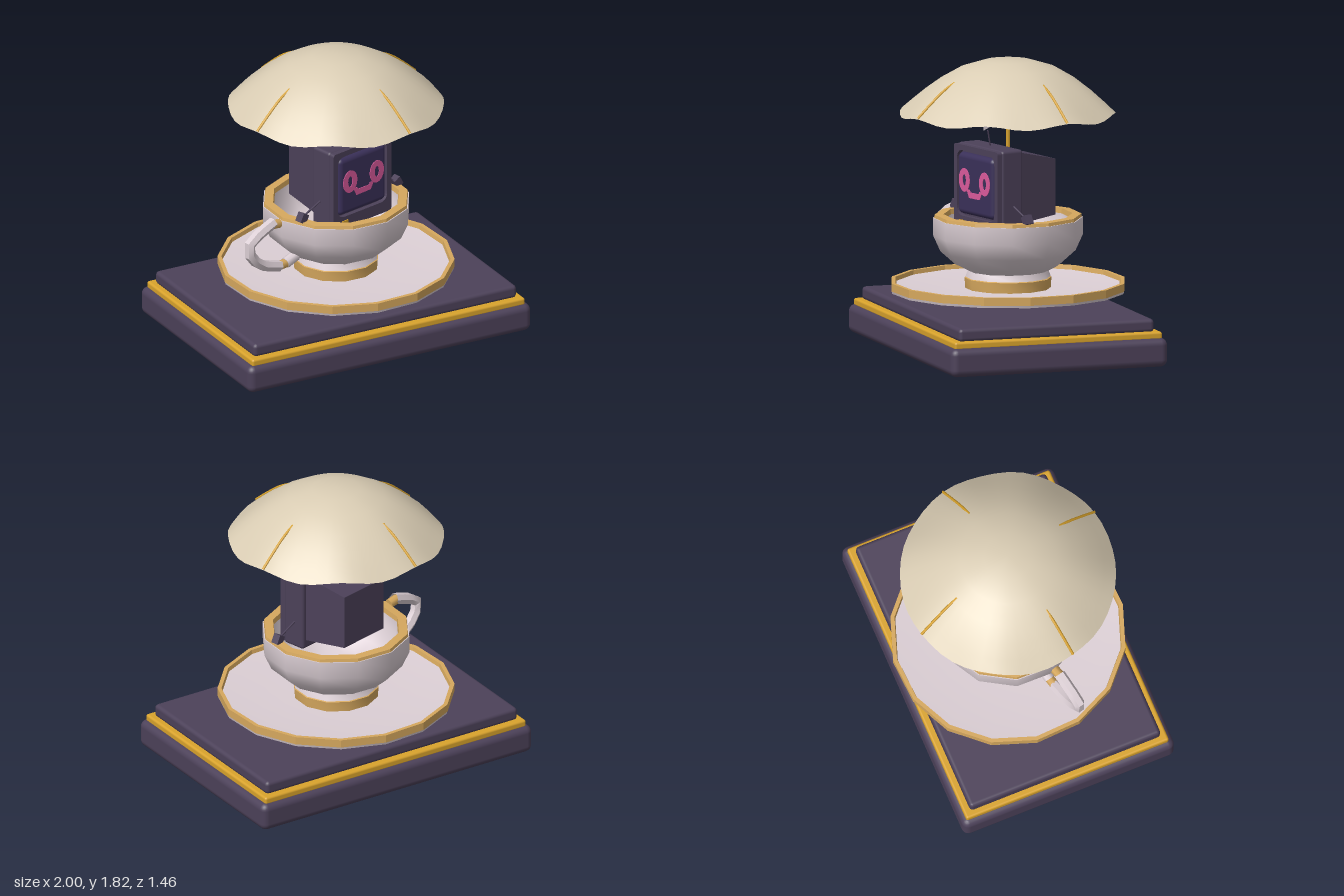
import * as THREE from 'three';
import { toCreasedNormals } from 'three/addons/utils/BufferGeometryUtils.js';
import { RoundedBoxGeometry } from 'three/addons/geometries/RoundedBoxGeometry.js';

export function createModel() {
  const mat = (name, color, side = THREE.FrontSide) => {
    const m = new THREE.MeshStandardMaterial({ color, side });
    m.name = name;
    return m;
  };
  const purple = mat('dark purple', 0x4c4159);
  const gold = mat('gold', 0xd9a32c);
  const tan = mat('tan trim', 0xd6a85e);
  const china = mat('pale china', 0xdccfd5, THREE.DoubleSide);
  const cloth = mat('cream cloth', 0xdacdb4, THREE.DoubleSide);
  const glass = mat('screen violet', 0x3a3059);
  const pink = mat('pink', 0xdb5a9c);

  const model = new THREE.Group();
  model.name = 'teacupRobot';
  // Everything above the plinth is turned a little toward its left
  const display = new THREE.Group();
  display.name = 'display';
  display.rotation.y = 0.25;
  model.add(display);

  const add = (name, geo, material, x = 0, y = 0, z = 0, parent = display) => {
    const mesh = new THREE.Mesh(geo, material);
    mesh.name = name;
    mesh.position.set(x, y, z);
    parent.add(mesh);
    return mesh;
  };
  const lathe = (pts, sides, crease = 0.6) => toCreasedNormals(
    new THREE.LatheGeometry(pts.map(p => new THREE.Vector2(...p)), sides), crease);
  const v = p => new THREE.Vector3(...p);
  const tube = (pts, r, segs, sides) => new THREE.TubeGeometry(
    new THREE.CatmullRomCurve3(pts.map(v)), segs, r, sides);
  const rod = (name, a, b, r, material) => {
    const from = v(a), to = v(b), d = to.clone().sub(from);
    const mesh = add(name, new THREE.CylinderGeometry(r, r, d.length(), 8), material);
    mesh.position.copy(from).add(to).multiplyScalar(0.5);
    mesh.quaternion.setFromUnitVectors(new THREE.Vector3(0, 1, 0), d.normalize());
    return mesh;
  };
  const roundRect = (path, w, h, r) => {
    const x = w / 2, y = h / 2;
    path.moveTo(-x + r, -y);
    path.lineTo(x - r, -y); path.quadraticCurveTo(x, -y, x, -y + r);
    path.lineTo(x, y - r); path.quadraticCurveTo(x, y, x - r, y);
    path.lineTo(-x + r, y); path.quadraticCurveTo(-x, y, -x, y - r);
    path.lineTo(-x, -y + r); path.quadraticCurveTo(-x, -y, -x + r, -y);
    return path;
  };
  const plate = (shape, depth) => new THREE.ExtrudeGeometry(shape, { depth, bevelEnabled: false, curveSegments: 8 });

  // Stepped plinth
  add('plinthBase', new RoundedBoxGeometry(2, 0.18, 1.42, 3, 0.045), purple, 0, 0.09, 0, model);
  add('plinthGoldBand', new RoundedBoxGeometry(1.93, 0.05, 1.36, 2, 0.015), gold, 0, 0.193, 0, model);
  add('plinthTop', new RoundedBoxGeometry(1.86, 0.085, 1.28, 2, 0.025), purple, 0, 0.253, 0, model);

  // Saucer: shallow dish with a thin trim band
  add('saucer', lathe([[0, 0.365], [0.6, 0.355], [0.73, 0.37], [0.735, 0.386], [0.715, 0.41],
    [0.6, 0.4], [0.35, 0.39], [0, 0.39]], 16), china);
  add('saucerBand', lathe([[0.7, 0.385], [0.735, 0.385], [0.735, 0.435], [0.71, 0.435], [0.7, 0.385]], 16, 0.3), tan);

  // Cup
  add('cupFoot', lathe([[0, 0.385], [0.265, 0.385], [0.27, 0.455], [0.24, 0.47], [0, 0.47]], 12), tan);
  add('cup', lathe([[0, 0.46], [0.265, 0.46], [0.25, 0.5], [0.33, 0.54], [0.42, 0.62], [0.465, 0.72],
    [0.465, 0.83], [0.4, 0.83], [0.39, 0.74], [0.32, 0.62], [0.2, 0.56], [0, 0.55]], 12, 0.7), china);
  add('cupRim', lathe([[0.395, 0.82], [0.46, 0.825], [0.455, 0.85], [0.4, 0.852], [0.395, 0.82]], 12, 0.3), tan);

  // Handle with trimmed ends
  add('handle', toCreasedNormals(tube([[-0.53, 0.84, 0], [-0.63, 0.805, 0], [-0.735, 0.745, 0],
    [-0.725, 0.67, 0], [-0.63, 0.58, 0], [-0.48, 0.53, 0]], 0.036, 8, 6), 0.6), china);
  rod('handleTipTop', [-0.56, 0.83, 0], [-0.485, 0.82, 0], 0.03, tan);
  rod('handleTipBottom', [-0.5, 0.532, 0], [-0.42, 0.532, 0], 0.03, tan);
  rod('handleRoot', [-0.43, 0.532, 0], [-0.34, 0.56, 0], 0.035, china);

  // Monitor head: front case, raised frame and tapered rear housing
  add('headCase', new RoundedBoxGeometry(0.5, 0.53, 0.16, 2, 0.02), purple, 0, 1.025, 0.13);
  const frame = roundRect(new THREE.Shape(), 0.49, 0.52, 0.02);
  const opening = roundRect(new THREE.Path(), 0.42, 0.41, 0.06);
  frame.holes.push(new THREE.Path(opening.getPoints(6).map(p => p.add(new THREE.Vector2(0, 0.02)))));
  add('headFrame', plate(frame, 0.035), purple, 0, 1.025, 0.205);
  const rear = new THREE.BoxGeometry(0.45, 1, 0.3).toNonIndexed();
  const rp = rear.attributes.position;
  for (let i = 0; i < rp.count; i++) {
    const top = rp.getY(i) > 0, back = rp.getZ(i) < 0;
    rp.setY(i, top ? (back ? 1.2 : 1.27) : (back ? 0.85 : 0.82));
    if (back) rp.setX(i, rp.getX(i) * 0.8);
  }
  rear.computeVertexNormals();
  add('headRear', rear, purple, 0, 0, -0.085);

  // Screen and glowing face
  add('screen', new RoundedBoxGeometry(0.4, 0.385, 0.07, 4, 0.033), glass, 0, 1.045, 0.212);
  for (const s of [-1, 1]) {
    const eye = new THREE.Shape();
    eye.absellipse(0, 0, 0.06, 0.075, 0, Math.PI * 2);
    const hole = new THREE.Path();
    hole.absellipse(0, 0, 0.019, 0.036, 0, Math.PI * 2);
    eye.holes.push(hole);
    add('eye', plate(eye, 0.008), pink, s * 0.113, 1.07, 0.243);
  }
  const mouth = new THREE.Shape([[-0.085, 0.025], [-0.06, -0.027], [0.06, -0.025], [0.085, 0.02],
    [0.055, 0.025], [0.05, 0.01], [-0.045, 0.01], [-0.055, 0.025]].map(p => new THREE.Vector2(...p)));
  add('mouth', plate(mouth, 0.008), pink, 0, 0.99, 0.243);
  add('chinButton', new THREE.BoxGeometry(0.05, 0.03, 0.008), gold, -0.15, 0.8, 0.243);

  // Thin arms holding the rim
  for (const s of [-1, 1]) {
    rod('arm', [s * 0.24, 0.94, 0.12], [s * 0.395, 0.875, 0.12], 0.006, purple);
    const hand = add('hand', new THREE.BoxGeometry(0.05, 0.06, 0.05), purple, s * 0.4, 0.87, 0.12);
    hand.rotation.z = s * 0.5;
  }

  // Antenna with a small pennant
  rod('antenna', [0, 1.28, 0.13], [0.008, 1.39, 0.155], 0.005, purple);
  const pennant = new THREE.Shape([[-0.03, -0.03], [0.035, 0], [-0.03, 0.03]].map(p => new THREE.Vector2(...p)));
  add('pennant', plate(pennant, 0.006), china, 0.008, 1.42, 0.155).rotation.y = Math.PI / 2 - 0.1;

  // Parasol: pole, scalloped canopy and four ribs
  rod('parasolPole', [0, 0.8, 0], [0, 1.8, 0], 0.014, gold);
  const profile = [[0, 1.82], [0.15, 1.812], [0.3, 1.765], [0.42, 1.695], [0.52, 1.62], [0.6, 1.55], [0.67, 1.485]];
  const canopy = new THREE.LatheGeometry(profile.slice().reverse().map(p => new THREE.Vector2(...p)), 48);
  const cp = canopy.attributes.position;
  for (let i = 0; i < cp.count; i++) {
    const x = cp.getX(i), z = cp.getZ(i), r = Math.hypot(x, z) / 0.67;
    cp.setY(i, cp.getY(i) + 0.014 * r ** 4 * Math.cos(8 * Math.atan2(x, z)));
  }
  add('canopy', toCreasedNormals(canopy, 1), cloth);
  const rib = tube([[0, 1.785, 0], [0.2, 1.77, 0], [0.35, 1.722, 0], [0.47, 1.663, 0], [0.57, 1.587, 0],
    [0.67, 1.502, 0]], 0.009, 20, 6);
  for (let i = 0; i < 4; i++) add('rib', rib, gold).rotation.y = i * Math.PI / 2;

  return model;
}
